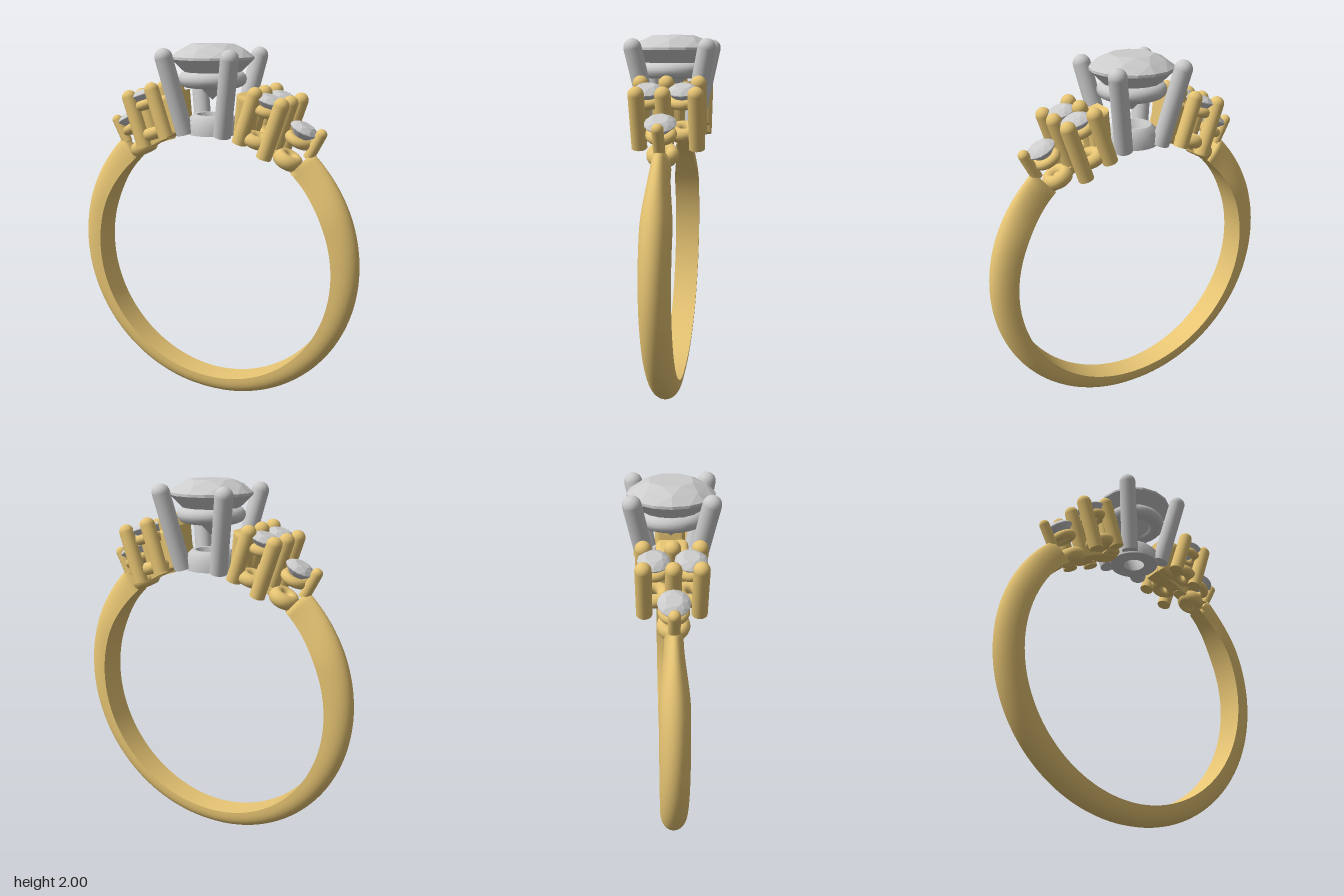
import * as THREE from 'three';
import { ConvexGeometry } from 'three/addons/geometries/ConvexGeometry.js';

const gold = new THREE.MeshStandardMaterial({ color: 0xe6c473 });
const silver = new THREE.MeshStandardMaterial({ color: 0xcccccc });
const stone = new THREE.MeshStandardMaterial({ color: 0xcccccc, flatShading: true });
const CY = 0.817, RI = 0.718; // finger hole centre height and radius
const END = THREE.MathUtils.degToRad(139); // band end, measured from the bottom

function add(parent, name, geometry, material, x = 0, y = 0, z = 0) {
  const mesh = new THREE.Mesh(geometry, material);
  mesh.name = name;
  mesh.position.set(x, y, z);
  parent.add(mesh);
  return mesh;
}

// Round-brilliant stone with its girdle at y = 0
function gemGeometry(r, crown, pavilion) {
  const pts = [new THREE.Vector3(0, -pavilion, 0)];
  const circle = (n, rad, y, off) => {
    for (let i = 0; i < n; i++) {
      const a = ((i + off) / n) * Math.PI * 2;
      pts.push(new THREE.Vector3(rad * Math.cos(a), y, rad * Math.sin(a)));
    }
  };
  circle(8, r * 0.52, crown, 0.5);
  circle(8, r * 0.8, crown * 0.62, 0);
  circle(16, r, 0.03 * r, 0);
  circle(16, r, -0.03 * r, 0);
  return new ConvexGeometry(pts);
}

// Straight claw with a flat foot and a round tip
function prong(parent, name, foot, tip, r, material) {
  const a = new THREE.Vector3(...foot), b = new THREE.Vector3(...tip);
  const len = a.distanceTo(b);
  const profile = [new THREE.Vector2(0, 0), new THREE.Vector2(r, 0), new THREE.Vector2(r, 0)];
  for (let i = 0; i <= 8; i++) {
    const t = (i / 8) * Math.PI / 2;
    profile.push(new THREE.Vector2(r * Math.cos(t), len + r * Math.sin(t)));
  }
  const mesh = add(parent, name, new THREE.LatheGeometry(profile, 20), material, ...foot);
  mesh.quaternion.setFromUnitVectors(new THREE.Vector3(0, 1, 0), b.sub(a).normalize());
}

// Horizontal seat ring, optionally stretched in height
function seat(parent, name, r, tube, material, x, y, z, height = 1) {
  const g = new THREE.TorusGeometry(r, tube, 14, 40).rotateX(Math.PI / 2).scale(1, height, 1);
  add(parent, name, g, material, x, y, z);
}

// Tapering D-section band, open at the top
function bandGeometry() {
  const N = 120, M = 25, S = M + 2, pos = [], idx = [];
  for (let i = 0; i <= N; i++) {
    const a = -END + (2 * END * i) / N, k = Math.abs(a);
    const t = 0.1 + 0.05 * Math.min(1, k / END) ** 1.3;
    const pinch = THREE.MathUtils.smoothstep(k, 1.95, END);
    const w = 0.066 + 0.011 * Math.sin(Math.min(k, Math.PI / 2)) - 0.03 * pinch;
    for (let j = 0; j < M; j++) {
      const p = (j / (M - 1)) * Math.PI;
      const r = RI + t * Math.sin(p) ** 0.8, z = w * Math.cos(p);
      pos.push(r * Math.sin(a), CY - r * Math.cos(a), z);
    }
    // separate vertices keep the inner face crisp
    for (const z of [-w, w]) pos.push(RI * Math.sin(a), CY - RI * Math.cos(a), z);
  }
  for (let i = 0; i < N; i++) {
    for (let j = 0; j <= M; j++) {
      if (j === M - 1) continue;
      const a = i * S + j, b = a + 1, c = a + S, d = c + 1;
      idx.push(a, b, c, b, d, c);
    }
  }
  for (let j = 1; j < M - 1; j++) { // end caps
    idx.push(0, j + 1, j);
    idx.push(N * S, N * S + j, N * S + j + 1);
  }
  const g = new THREE.BufferGeometry();
  g.setAttribute('position', new THREE.Float32BufferAttribute(pos, 3));
  g.setIndex(idx);
  g.computeVertexNormals();
  return g;
}

// Shape in the front plane, extruded evenly about z = 0 with rounded edges
function slab(shape, depth, bevel) {
  return new THREE.ExtrudeGeometry(shape, {
    depth: depth - 2 * bevel, curveSegments: 24,
    bevelThickness: bevel, bevelSize: bevel, bevelOffset: -bevel, bevelSegments: 4,
  }).translate(0, 0, bevel - depth / 2);
}

function centreSetting() {
  const g = new THREE.Group();
  g.name = 'centreSetting';
  add(g, 'centreStone', gemGeometry(0.22, 0.07, 0.22), stone, 0, 1.93, 0);
  seat(g, 'centreSeatRing', 0.135, 0.047, silver, 0, 1.82, 0, 0.9);
  const profile = [[0.06, 1.532], [0.14, 1.532], [0.14, 1.532], [0.14, 1.6], [0.105, 1.635],
    [0.105, 1.635], [0.085, 1.635], [0.085, 1.635], [0.06, 1.58], [0.06, 1.532]]
    .map(p => new THREE.Vector2(...p));
  add(g, 'centreBaseRing', new THREE.LatheGeometry(profile, 40), silver);
  for (const x of [-1, 1]) for (const z of [-1, 1])
    prong(g, 'centreProng', [x * 0.11, 1.538, z * 0.11], [x * 0.187, 1.935, z * 0.19], 0.047, silver);
  return g;
}

function shoulder(s) {
  const g = new THREE.Group();
  g.name = s > 0 ? 'leftShoulder' : 'rightShoulder';
  const back = s > 0 ? -0.16 : -0.14;

  // Twin-stone head, leaning outward
  const twin = new THREE.Group();
  twin.name = 'twinHead';
  twin.position.set(s * 0.37, 1.737, 0);
  twin.rotation.z = -s * 0.32;
  for (const z of [0.085, -0.09]) {
    add(twin, 'twinStone', gemGeometry(0.078, 0.028, 0.08), stone, 0, -0.008, z);
    seat(twin, 'twinUpperSeat', 0.05, 0.026, gold, 0, -0.062, z);
    seat(twin, 'twinLowerSeat', 0.05, 0.034, gold, 0, -0.222, z);
  }
  for (const x of [-1, 1]) for (const z of [0.13, 0, back])
    prong(twin, 'twinProng', [s * x * 0.075, x * s * s > 0 ? -0.282 : -0.262, z], [s * x * 0.075, 0, z], 0.04, gold);
  g.add(twin);

  // Single-stone head next to the band
  const single = new THREE.Group();
  single.name = 'singleHead';
  single.position.set(s * 0.52, 1.585, 0);
  single.rotation.z = -s * 0.48;
  add(single, 'singleStone', gemGeometry(0.078, 0.028, 0.08), stone);
  seat(single, 'singleUpperSeat', 0.05, 0.026, gold, 0, -0.062, 0);
  seat(single, 'singleLowerSeat', 0.048, 0.033, gold, 0, -0.182, 0, 1.2);
  prong(single, 'singleProng', [s * 0.09, -0.115, 0], [s * 0.09, 0.025, 0], 0.029, gold);
  g.add(single);

  // Block between the centre setting and the twin head
  const block = new THREE.Shape();
  block.moveTo(s * 0.15, 1.525);
  block.lineTo(s * 0.25, 1.497);
  block.lineTo(s * 0.29, 1.72);
  block.lineTo(s * 0.17, 1.755);
  add(g, 'bridgeBlock', slab(block, 0.16, 0.025), gold);

  // Rail under the heads, following the finger hole
  const rail = new THREE.Shape();
  const a0 = Math.PI / 2 - s * 0.2, a1 = Math.PI / 2 - s * 0.725;
  rail.absarc(0, CY, RI, a0, a1, s > 0);
  rail.absarc(0, CY, RI + 0.045, a1, a0, s < 0);
  add(g, 'underRail', slab(rail, 0.08, 0.006), gold);
  return g;
}

export function createModel() {
  const model = new THREE.Group();
  model.name = 'ring';
  add(model, 'band', bandGeometry(), gold);
  model.add(centreSetting(), shoulder(1), shoulder(-1));
  return model;
}
